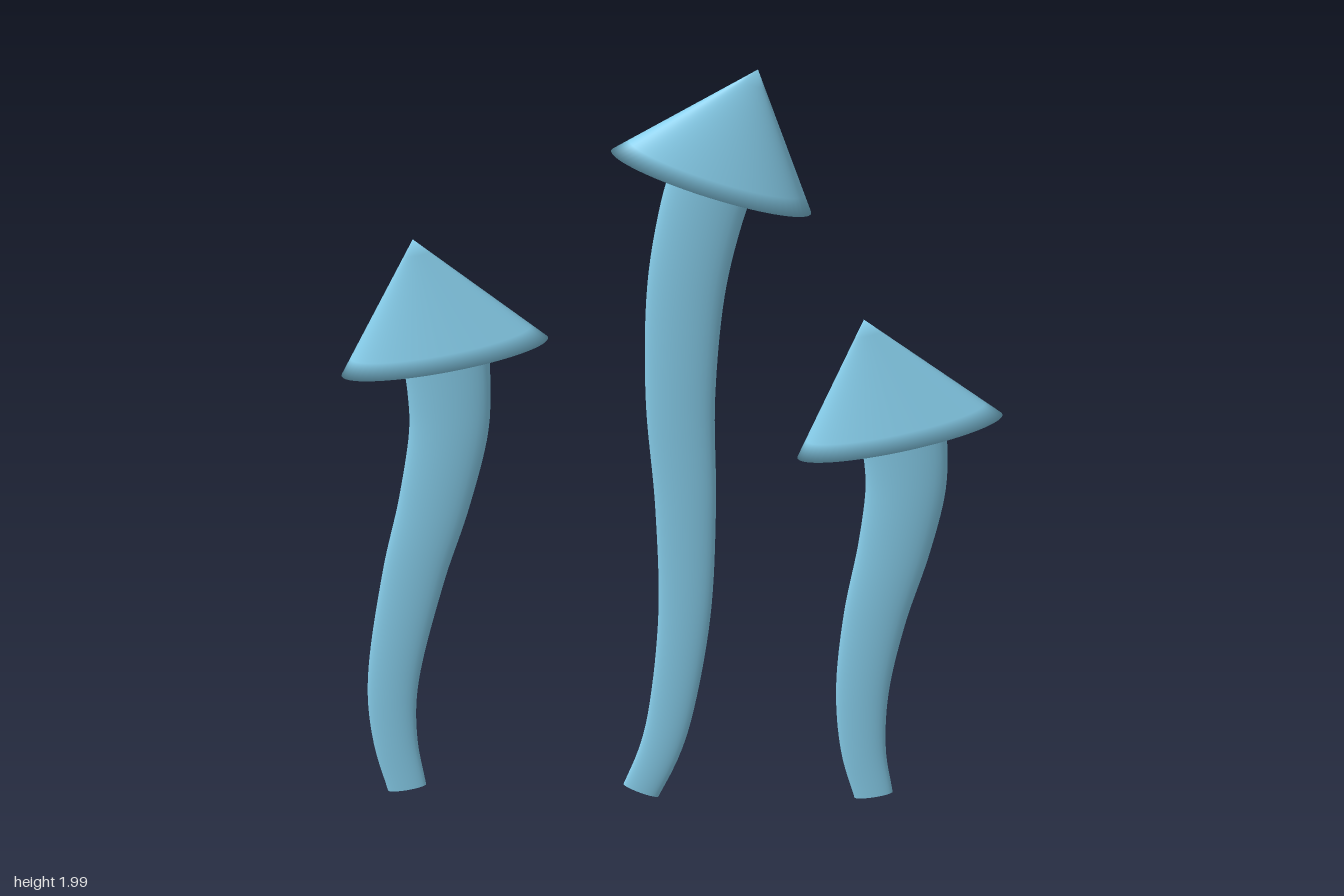
import * as THREE from 'three';
import { mergeVertices } from 'three/addons/utils/BufferGeometryUtils.js';

const FLAT = 0.287; // depth to width ratio of every part
const material = new THREE.MeshStandardMaterial({ color: 0x87ceeb });

// Cone squashed in depth, with normals shared across the rim
function makeCap({ base, tilt }) {
  const cone = new THREE.ConeGeometry(0.245, 0.328, 64, 8);
  cone.deleteAttribute('normal');
  cone.deleteAttribute('uv');
  cone.translate(0, 0.164, 0);
  cone.scale(1, 1, FLAT);
  const geometry = mergeVertices(cone, 1e-5);
  geometry.computeVertexNormals();
  const cap = new THREE.Mesh(geometry, material);
  cap.name = 'cap';
  cap.position.set(base[0], base[1], 0);
  cap.rotation.z = tilt;
  return cap;
}

// Elliptical sections swept along a planar curve, widening upwards
function makeStem({ path, bottom, top }) {
  const curve = new THREE.CatmullRomCurve3(path.map(([x, y]) => new THREE.Vector3(x, y, 0)));
  const steps = 48, sides = 32;
  const positions = [], indices = [];
  const addRing = (t, scale) => {
    const p = curve.getPointAt(t), d = curve.getTangentAt(t);
    const r = scale * THREE.MathUtils.lerp(bottom, top, t) / 2;
    for (let j = 0; j < sides; j++) {
      const a = (j / sides) * Math.PI * 2;
      const u = Math.cos(a) * r;
      positions.push(p.x + d.y * u, p.y - d.x * u, Math.sin(a) * r * FLAT);
    }
  };
  const bridge = (lower) => {
    for (let j = 0; j < sides; j++) {
      const a = lower * sides + j, b = lower * sides + (j + 1) % sides;
      indices.push(a, a + sides, b, b, a + sides, b + sides);
    }
  };
  // Separate end rings keep the cut ends crisp
  addRing(0, 0);
  addRing(0, 1);
  for (let i = 0; i <= steps; i++) addRing(i / steps, 1);
  addRing(1, 1);
  addRing(1, 0);
  bridge(0);
  for (let i = 0; i < steps; i++) bridge(i + 2);
  bridge(steps + 3);
  const geometry = new THREE.BufferGeometry();
  geometry.setAttribute('position', new THREE.Float32BufferAttribute(positions, 3));
  geometry.setIndex(indices);
  geometry.computeVertexNormals();
  const stem = new THREE.Mesh(geometry, material);
  stem.name = 'stem';
  return stem;
}

const mushrooms = [
  {
    name: 'rightMushroom', base: [-0.528, 1.2], tilt: 0.228, bottom: 0.09, top: 0.202,
    path: [[-0.615, 0.021], [-0.642, 0.15], [-0.648, 0.3], [-0.6, 0.6], [-0.553, 0.8], [-0.519, 1.0], [-0.518, 1.1], [-0.526, 1.21]],
  },
  {
    name: 'middleMushroom', base: [0.087, 1.689], tilt: -0.336, bottom: 0.087, top: 0.202,
    path: [[-0.075, 0.023], [-0.036, 0.12], [-0.01, 0.22], [0.025, 0.5], [0.028, 0.8], [0.016, 1.1], [0.03, 1.4], [0.064, 1.6], [0.09, 1.7]],
  },
  {
    name: 'leftMushroom', base: [0.523, 1.002], tilt: 0.257, bottom: 0.09, top: 0.202,
    path: [[0.462, 0.021], [0.439, 0.14], [0.436, 0.3], [0.464, 0.5], [0.51, 0.7], [0.535, 0.85], [0.537, 0.93], [0.53, 1.012]],
  },
];

export function createModel() {
  const model = new THREE.Group();
  model.name = 'mushrooms';
  for (const spec of mushrooms) {
    const mushroom = new THREE.Group();
    mushroom.name = spec.name;
    mushroom.add(makeStem(spec), makeCap(spec));
    model.add(mushroom);
  }
  return model;
}
